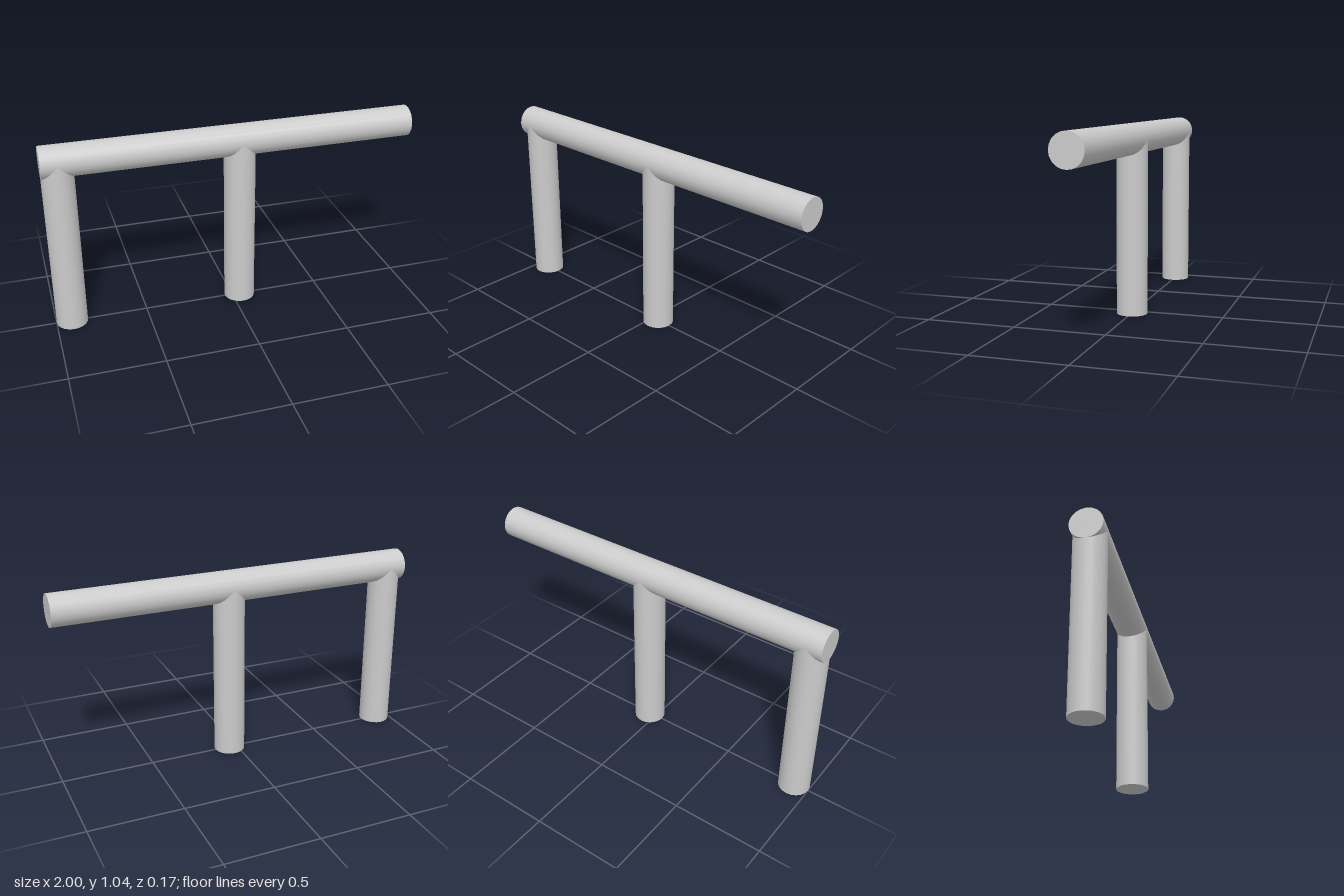
import * as THREE from 'three';

const RADIUS = 0.085;
const RAIL_Y = 0.958;
const SIDES = 20;

export function createModel() {
  const group = new THREE.Group();
  const material = new THREE.MeshStandardMaterial({ color: 0xcccccc });

  const addBar = (name, length, x, y) => {
    const bar = new THREE.Mesh(new THREE.CylinderGeometry(RADIUS, RADIUS, length, SIDES), material);
    bar.name = name;
    bar.position.set(x, y, 0);
    group.add(bar);
    return bar;
  };

  // Horizontal round rail
  addBar('rail', 2, 0, RAIL_Y).rotation.z = Math.PI / 2;

  // Posts run up to the rail's axis, so the equal radii meet in a mitred joint
  addBar('endPost', RAIL_Y, -1 + RADIUS, RAIL_Y / 2);
  addBar('middlePost', RAIL_Y, 0.042, RAIL_Y / 2);

  return group;
}
